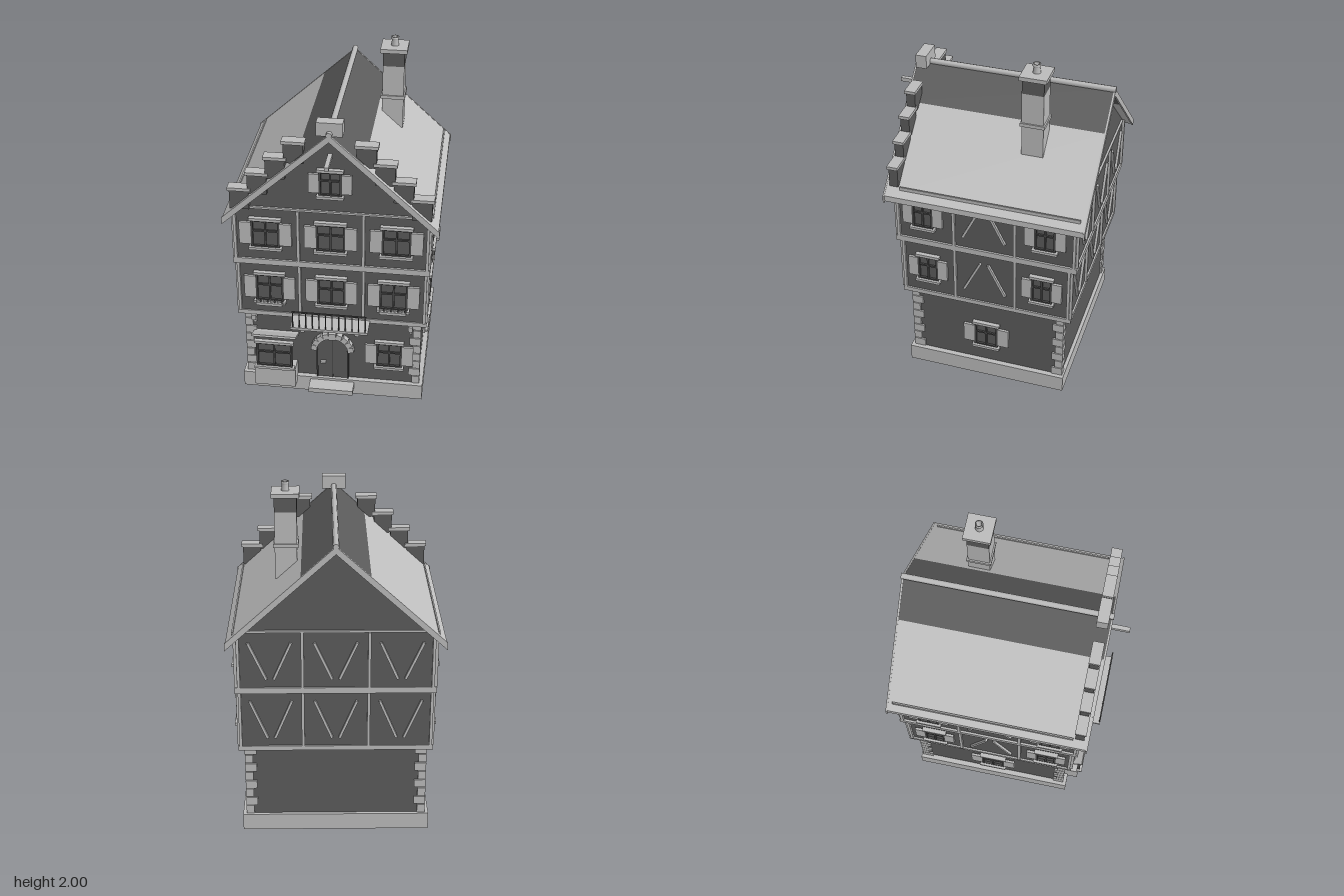
import * as THREE from 'three';

const mat = (name, color) => new THREE.MeshStandardMaterial({ name, color });

export function createModel() {
  const light = mat('light stone', 0xbcbcbc);
  const dark = mat('dark plaster', 0x5c5c5c);
  const frameMat = mat('window frame', 0x4a4a4a);
  const tile = mat('pale roof', 0xc2c2c2);
  const house = new THREE.Group();
  house.name = 'house';

  const mesh = (name, geo, m, parent = house) => {
    const o = new THREE.Mesh(geo, m);
    o.name = name;
    parent.add(o);
    return o;
  };
  // Box given by its extents
  const box = (name, m, x0, x1, y0, y1, z0, z1, parent) => {
    const o = mesh(name, new THREE.BoxGeometry(x1 - x0, y1 - y0, z1 - z0), m, parent);
    o.position.set((x0 + x1) / 2, (y0 + y1) / 2, (z0 + z1) / 2);
    return o;
  };
  // Timber between two points on a wall's own plane
  const beam = (name, x0, y0, x1, y1, w, parent) => {
    const o = mesh(name, new THREE.BoxGeometry(w, Math.hypot(x1 - x0, y1 - y0), 0.02), light, parent);
    o.position.set((x0 + x1) / 2, (y0 + y1) / 2, 0.004);
    o.rotation.z = -Math.atan2(x1 - x0, y1 - y0);
    return o;
  };
  // Outline extruded along z from z0 to z1
  const prism = (name, m, pts, z0, z1, parent) => {
    const shape = new THREE.Shape(pts.map(p => new THREE.Vector2(p[0], p[1])));
    const o = mesh(name, new THREE.ExtrudeGeometry(shape, { depth: z1 - z0, bevelEnabled: false, curveSegments: 16 }), m, parent);
    o.position.z = z0;
    return o;
  };
  // A wall group: local x runs along the wall, local z points outward
  const wall = (name, angle, dist, offset = 0) => {
    const g = new THREE.Group();
    g.name = name;
    g.rotation.y = angle;
    g.position.set(Math.sin(angle) * dist, 0, Math.cos(angle) * dist + offset);
    house.add(g);
    return g;
  };
  // Cross-barred window with ledges and open shutters
  const makeWindow = (parent, x, y, w, h, sw = 0.065) => {
    const g = new THREE.Group();
    g.name = 'window';
    g.position.set(x, y, 0);
    parent.add(g);
    const a = w / 2, b = h / 2;
    box('pane', dark, -a, a, -b, b, 0, 0.006, g);
    for (const s of [-1, 1]) {
      box('frameSide', frameMat, s * (a - 0.006) - 0.006, s * (a - 0.006) + 0.006, -b, b, 0, 0.018, g);
      box('frameRail', frameMat, -a, a, s * (b - 0.006) - 0.006, s * (b - 0.006) + 0.006, 0, 0.018, g);
      if (sw) box('shutter', light, s * (a + sw / 2) - sw / 2, s * (a + sw / 2) + sw / 2, -b + 0.018, b - 0.018, 0.004, 0.018, g);
    }
    box('mullion', frameMat, -0.005, 0.005, -b, b, 0, 0.016, g);
    box('crossBar', frameMat, -a, a, 0.013, 0.023, 0, 0.016, g);
    box('lintel', light, -a - 0.01, a + 0.01, b - 0.005, b + 0.012, 0, 0.025, g);
    box('sill', light, -a - 0.012, a + 0.012, -b - 0.012, -b + 0.004, 0, 0.032, g);
    return g;
  };
  const plants = (parent, x, y, z, w) => {
    for (let i = 0; i < 8; i++) {
      const p = mesh('plant', new THREE.IcosahedronGeometry(0.009), i % 2 ? dark : light, parent);
      p.position.set(x + (i / 7 - 0.5) * w, y, z);
    }
  };

  // Stacked storeys, each jutting over the one below
  box('plinth', light, -0.53, 0.53, 0, 0.1, -0.51, 0.43);
  box('groundFloor', dark, -0.5, 0.5, 0.1, 0.54, -0.49, 0.4);
  box('firstFloorBand', light, -0.54, 0.54, 0.54, 0.567, -0.545, 0.447);
  box('firstFloor', dark, -0.53, 0.53, 0.567, 0.905, -0.535, 0.44);
  box('secondFloorBand', light, -0.547, 0.547, 0.905, 0.94, -0.57, 0.472);
  prism('secondFloorAndGables', dark,
    [[-0.535, 0.94], [0.535, 0.94], [0.535, 1.235], [0, 1.72], [-0.535, 1.235]], -0.56, 0.46);

  // Corner quoins
  for (const sx of [-1, 1]) for (const back of [0, 1]) for (let i = 0; i < 8; i++) {
    const long = i % 2 ? 0.065 : 0.045, deep = i % 2 ? 0.045 : 0.065;
    const y = 0.1 + i * 0.055, zo = back ? -0.5 : 0.41;
    box('quoin', light, sx > 0 ? 0.51 - long : -0.51, sx > 0 ? 0.51 : -0.51 + long, y + 0.003, y + 0.052,
      back ? zo : zo - deep, back ? zo + deep : zo);
  }

  // Front storeys
  const front0 = wall('frontGround', 0, 0.4), front1 = wall('frontFirst', 0, 0.44), front2 = wall('frontSecond', 0, 0.46);
  makeWindow(front0, 0.33, 0.295, 0.15, 0.17);
  for (const x of [-0.35, 0, 0.35]) makeWindow(front1, x, 0.74, 0.16, 0.18);
  for (const x of [-0.36, 0, 0.36]) makeWindow(front2, x, 1.11, 0.16, 0.175);
  makeWindow(front2, 0, 1.45, 0.125, 0.15, 0.055);
  for (const x of [-0.35, 0.35]) {
    box('flowerBox', light, x - 0.075, x + 0.075, 0.637, 0.655, 0.02, 0.05, front1);
    plants(front1, x, 0.658, 0.035, 0.14);
  }
  const posts = (g, xs, y0, y1) => xs.forEach(x => beam('post', x, y0, x, y1, 0.016, g));
  posts(front1, [-0.525, -0.18, 0.18, 0.525], 0.567, 0.905);
  posts(front2, [-0.53, -0.18, 0.18, 0.53], 0.94, 1.265);
  box('gableBeam', light, -0.48, 0.48, 1.265, 1.277, 0, 0.012, front2);
  box('hoistBeam', light, -0.012, 0.012, 1.605, 1.628, 0, 0.155, front2);

  // Side storeys: windows at both ends, braces between
  for (const s of [-1, 1]) {
    const a = s * Math.PI / 2;
    const g0 = wall('sideGround', a, 0.5), g1 = wall('sideFirst', a, 0.53), g2 = wall('sideSecond', a, 0.535);
    makeWindow(g0, s * 0.04, 0.295, 0.14, 0.16);
    for (const [g, y, f, b, y0, y1, zf, zb] of [
      [g1, 0.74, 0.29, -0.375, 0.567, 0.905, 0.432, -0.527],
      [g2, 1.11, 0.307, -0.39, 0.94, 1.235, 0.452, -0.552]]) {
      makeWindow(g, -s * f, y, 0.12, 0.165, 0.055);
      makeWindow(g, -s * b, y, 0.12, 0.165, 0.055);
      posts(g, [zf, 0.13, -0.22, zb].map(z => -s * z), y0, y1);
      for (const d of [-1, 1]) beam('brace', s * 0.042 + d * 0.12, y - 0.1, s * 0.042 + d * 0.022, y + 0.1, 0.014, g);
    }
  }

  // Back storeys: three braced panels each
  const back1 = wall('backFirst', Math.PI, 0.535), back2 = wall('backSecond', Math.PI, 0.56);
  for (const [g, y0, y1] of [[back1, 0.567, 0.905], [back2, 0.94, 1.265]]) {
    posts(g, [-0.525, -0.18, 0.18, 0.525], y0, y1);
    for (const x of [-0.355, 0, 0.355]) for (const d of [-1, 1])
      beam('brace', x + d * 0.02, y0 + 0.05, x + d * 0.115, y1 - 0.06, 0.014, g);
  }
  box('backGableBeam', light, -0.48, 0.48, 1.265, 1.277, 0, 0.012, back2);

  // Arched door with voussoirs, handle and step
  const arch = new THREE.Shape();
  arch.moveTo(-0.09, 0.1);
  arch.lineTo(0.09, 0.1);
  arch.lineTo(0.09, 0.3);
  arch.absarc(0, 0.3, 0.09, 0, Math.PI, false);
  mesh('door', new THREE.ExtrudeGeometry(arch, { depth: 0.012, bevelEnabled: false }), dark, front0);
  box('doorSeam', frameMat, -0.003, 0.003, 0.1, 0.385, 0.01, 0.015, front0);
  for (const s of [-1, 1]) box('doorJamb', frameMat, s * 0.09 - 0.004, s * 0.09 + 0.004, 0.1, 0.3, 0, 0.02, front0);
  box('doorHandle', light, -0.07, -0.038, 0.207, 0.219, 0.012, 0.03, front0);
  for (let i = 0; i < 9; i++) {
    const t = Math.PI * (i + 0.5) / 9, key = i === 4 ? 0.008 : 0;
    const o = mesh('archStone', new THREE.BoxGeometry(0.035 + key, 0.034 + key, 0.035 + key), light, front0);
    o.position.set(Math.cos(t) * 0.108, 0.3 + Math.sin(t) * 0.108, 0.015);
    o.rotation.z = t;
  }
  box('doorStep', light, -0.13, 0.13, 0.055, 0.085, 0.42, 0.515);

  // Shop counter, window and raised flap
  box('counter', light, -0.45, -0.21, 0.065, 0.195, 0.4, 0.49);
  const shop = wall('shopFront', 0, 0.48);
  makeWindow(shop, -0.33, 0.295, 0.21, 0.17, 0);
  plants(shop, -0.33, 0.207, 0.02, 0.2);
  const flap = box('shopFlap', light, -0.46, -0.2, 0.405, 0.417, 0.4, 0.51);
  flap.rotation.x = -0.4;
  box('flapRail', light, -0.46, -0.2, 0.388, 0.402, 0.4, 0.43);

  // Balcony with corbels
  box('balconyFloor', light, -0.22, 0.22, 0.54, 0.556, 0.44, 0.565);
  box('balconyRail', frameMat, -0.21, 0.21, 0.655, 0.663, 0.555, 0.563);
  for (let i = 0; i < 12; i++) {
    const x = -0.205 + i * 0.41 / 11;
    box('baluster', frameMat, x - 0.003, x + 0.003, 0.556, 0.657, 0.556, 0.562);
  }
  for (const x of [-0.45, -0.155, 0.155, 0.45]) {
    const d = Math.abs(x) < 0.3 ? 0.14 : 0.06;
    box('corbelTop', light, x - 0.013, x + 0.013, 0.508, 0.54, 0.4, 0.4 + d);
    box('corbelFoot', light, x - 0.009, x + 0.009, 0.465, 0.508, 0.4, 0.4 + d * 0.35);
  }

  // Roof slopes, dark near the ridge, with verge boards and snow rails
  const roofY = x => 1.76 - 0.915 * Math.abs(x);
  const strip = (s, a, b, top, bottom) => {
    const p = [[s * a, roofY(a) + top], [s * b, roofY(b) + top], [s * b, roofY(b) - bottom], [s * a, roofY(a) - bottom]];
    return s > 0 ? p.reverse() : p;
  };
  for (const s of [-1, 1]) {
    prism('upperRoof', dark, strip(s, 0, 0.183, 0, 0.035), -0.605, 0.51);
    prism('lowerRoof', tile, strip(s, 0.183, 0.585, 0, 0.035), -0.605, 0.51);
    prism('frontVerge', light, strip(s, 0, 0.59, 0.002, 0.04), 0.508, 0.517);
    prism('backVerge', light, strip(s, 0, 0.59, 0.002, 0.04), -0.613, -0.603);
    box('snowRail', light, s * 0.548 - 0.004, s * 0.548 + 0.004, 1.25, 1.275, -0.58, 0.43);
  }
  const ridge = mesh('ridge', new THREE.CylinderGeometry(0.017, 0.017, 1.135, 8), light);
  ridge.rotation.x = Math.PI / 2;
  ridge.position.set(0, 1.76, -0.048);

  // Stepped gable blocks with caps
  for (const s of [-1, 1]) for (let i = 0; i < 4; i++) {
    const cx = s * (0.493 - i * 0.1), top = 1.4 + i * 0.1;
    box('gableStep', dark, cx - 0.053, cx + 0.053, top - 0.13, top - 0.018, 0.44, 0.49);
    box('gableCap', light, cx - 0.063, cx + 0.063, top - 0.018, top, 0.435, 0.497);
  }
  box('gablePeak', light, -0.07, 0.07, 1.745, 1.822, 0.435, 0.497);

  // Chimney
  box('chimneyStack', light, 0.205, 0.325, 1.47, 1.845, -0.307, -0.187);
  box('chimneyTop', dark, 0.205, 0.325, 1.845, 1.927, -0.307, -0.187);
  box('chimneyRing', light, 0.197, 0.333, 1.648, 1.668, -0.315, -0.179);
  box('chimneyCap', light, 0.19, 0.34, 1.927, 1.95, -0.324, -0.174);
  const pot = mesh('chimneyPot', new THREE.LatheGeometry(
    [[0.022, 1.95], [0.018, 1.985], [0.022, 1.987], [0.022, 2], [0.014, 2], [0.014, 1.955], [0, 1.955]]
      .map(p => new THREE.Vector2(p[0], p[1])), 14), light);
  pot.position.set(0.265, 0, -0.249);
  return house;
}
